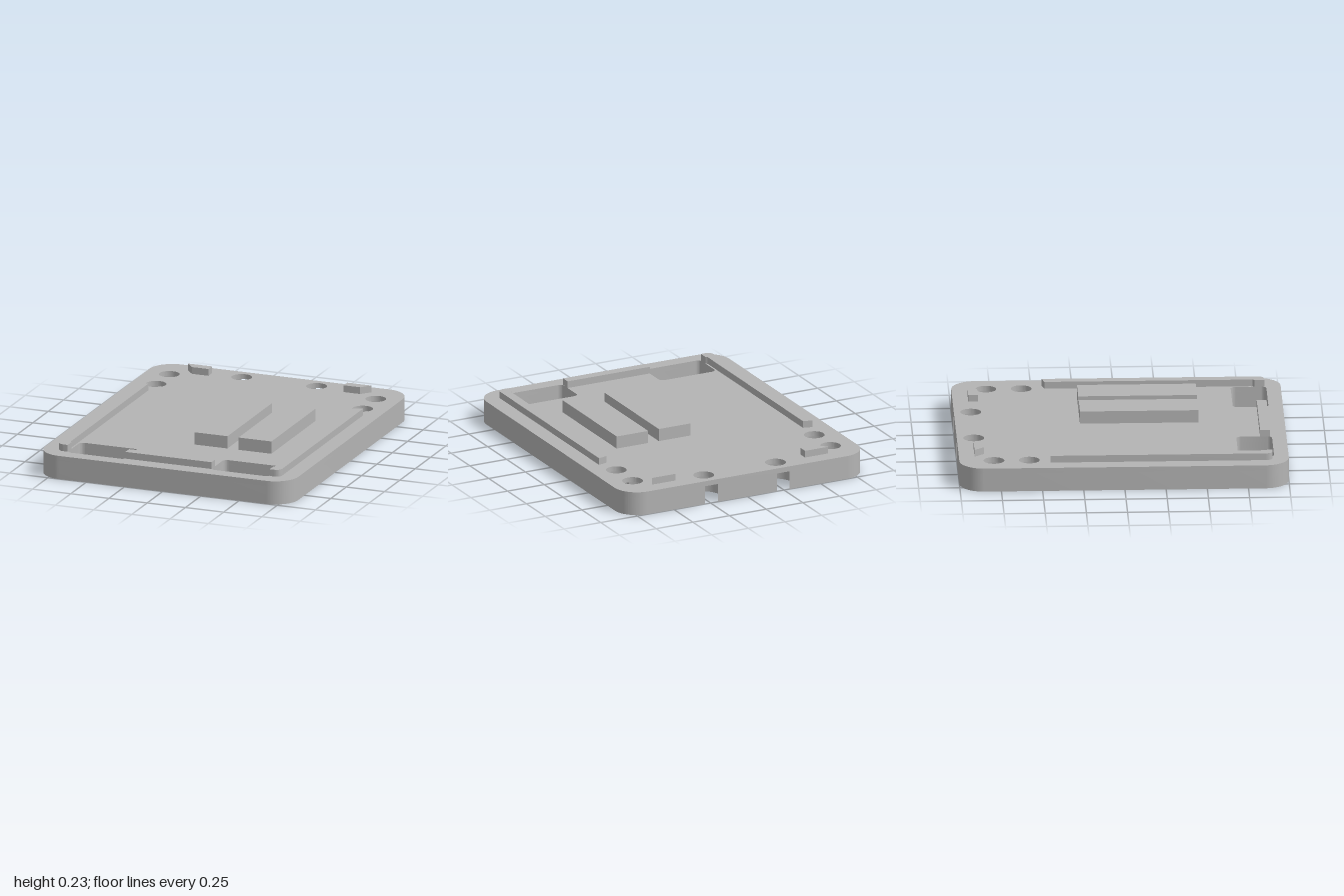
import * as THREE from 'three';
import { toCreasedNormals } from 'three/addons/utils/BufferGeometryUtils.js';

const W = 0.828, D = 1, CORNER = 0.15;      // plate half width, half depth, corner radius
const SKIN = 0.115, TOP = 0.147, RAIL = 0.19, PAD = 0.225; // heights
const HOLE = 0.063, BORE = 0.112;           // screw hole and counterbore radii
const BACK_X = 0.245, BACK_Y = 0.897;       // rear holes
const SIDE_X = 0.675, SIDE_Y = [0.575, 0.79]; // paired side holes
const SIDES = [-1, 1];

// Shapes are drawn in plan with y pointing to the back, then laid flat.
function slab(name, shape, y0, y1, material) {
  let g = new THREE.ExtrudeGeometry(shape, { depth: y1 - y0, bevelEnabled: false, curveSegments: 24 });
  g.rotateX(-Math.PI / 2);
  g.translate(0, y0, 0);
  g = toCreasedNormals(g, 0.6);
  const mesh = new THREE.Mesh(g, material);
  mesh.name = name;
  return mesh;
}

function polygon(points) {
  return new THREE.Shape(points.map(([x, y]) => new THREE.Vector2(x, y)));
}

// Rounded rectangle; notches are counterbores breaking through the back edge
function roundedRect(path, x0, y0, x1, y1, r, notches = []) {
  path.moveTo(x0 + r, y0);
  path.lineTo(x1 - r, y0);
  path.absarc(x1 - r, y0 + r, r, -Math.PI / 2, 0, false);
  path.lineTo(x1, y1 - r);
  path.absarc(x1 - r, y1 - r, r, 0, Math.PI / 2, false);
  for (const x of notches) {
    const rise = y1 - BACK_Y;
    const a = Math.asin(rise / BORE);
    path.lineTo(x + Math.cos(a) * BORE, y1);
    path.absarc(x, BACK_Y, BORE, a, Math.PI - a, true);
  }
  path.lineTo(x0 + r, y1);
  path.absarc(x0 + r, y1 - r, r, Math.PI / 2, Math.PI, false);
  path.lineTo(x0, y0 + r);
  path.absarc(x0 + r, y0 + r, r, Math.PI, Math.PI * 1.5, false);
  return path;
}

function circle(x, y, r) {
  return new THREE.Path().absarc(x, y, r, 0, Math.PI * 2, false);
}

// Two overlapping counterbores joined into one opening
function doubleBore(x) {
  const [low, high] = SIDE_Y;
  const a = Math.asin((high - low) / 2 / BORE);
  const p = new THREE.Path();
  p.absarc(x, high, BORE, -a, Math.PI + a, false);
  p.absarc(x, low, BORE, Math.PI - a, Math.PI * 2 + a, false);
  p.closePath();
  return p;
}

function windowHole(s) {
  const x = s * 0.47;
  return roundedRect(new THREE.Path(), x - 0.19, -0.912, x + 0.19, -0.695, 0.03);
}

export function createModel() {
  const model = new THREE.Group();
  model.name = 'coverPlate';
  const grey = new THREE.MeshStandardMaterial({ color: 0xb4b4b4 });
  grey.name = 'grey plastic';

  // Plate: thick body with counterbores, thin top skin with screw holes
  const body = roundedRect(new THREE.Shape(), -W, -D, W, D, CORNER, [BACK_X, -BACK_X]);
  const skin = roundedRect(new THREE.Shape(), -W, -D, W, D, CORNER);
  for (const s of SIDES) {
    body.holes.push(windowHole(s), doubleBore(s * SIDE_X));
    skin.holes.push(windowHole(s), circle(s * BACK_X, BACK_Y, HOLE));
    for (const y of SIDE_Y) skin.holes.push(circle(s * SIDE_X, y, HOLE));
  }
  model.add(slab('plateBody', body, 0, SKIN, grey));
  model.add(slab('plateSkin', skin, SKIN, TOP, grey));

  for (const s of SIDES) {
    const side = s > 0 ? 'left' : 'right';

    // Side rail with slanted rear end and rounded front corner
    const rail = new THREE.Shape();
    rail.moveTo(s * 0.67, 0.435);
    rail.lineTo(s * 0.67, -0.83);
    rail.lineTo(s * 0.66, -0.84);
    rail.lineTo(s * 0.66, -0.9);
    rail.lineTo(s * 0.685, -0.9);
    rail.quadraticCurveTo(s * 0.728, -0.9, s * 0.728, -0.857);
    rail.lineTo(s * 0.728, 0.449);
    model.add(slab(side + 'Rail', rail, TOP, RAIL, grey));

    // Small rear locating tab
    const tab = polygon([[s * 0.6, 0.905], [s * 0.442, 0.905], [s * 0.442, 0.847], [s * 0.55, 0.847]]);
    model.add(slab(side + 'RearTab', tab, TOP, RAIL, grey));
  }

  // Front rail between the two windows
  model.add(slab('frontRail', polygon([[-0.283, -0.9], [0.28, -0.9], [0.28, -0.84], [-0.283, -0.84]]), TOP, RAIL, grey));

  // Raised support pads
  for (const [name, x0] of [['innerPad', 0], ['outerPad', 0.287]]) {
    const pad = polygon([[x0, -0.478], [x0 + 0.215, -0.478], [x0 + 0.215, 0.243], [x0, 0.243]]);
    model.add(slab(name, pad, TOP, PAD, grey));
  }
  return model;
}
